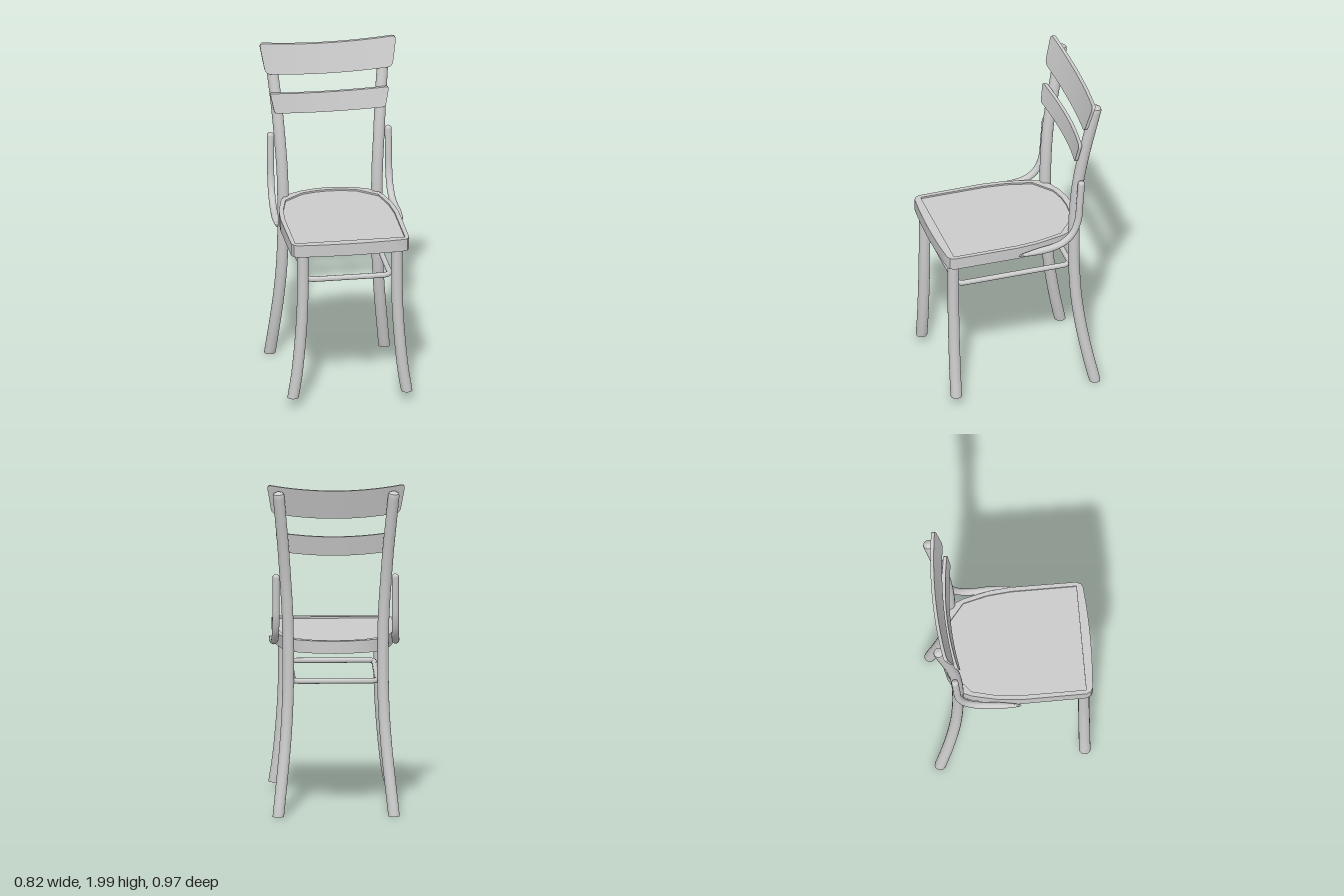
import * as THREE from 'three';
import { toCreasedNormals } from 'three/addons/utils/BufferGeometryUtils.js';

const { lerp } = THREE.MathUtils;

export function createModel() {
  const chair = new THREE.Group();
  chair.name = 'chair';
  const wood = new THREE.MeshStandardMaterial({ color: 0xcccccc });

  function add(name, geometry, crease = 0.7) {
    const mesh = new THREE.Mesh(toCreasedNormals(geometry, crease), wood);
    mesh.name = name;
    chair.add(mesh);
  }

  // Closed round rod along a path; radius(t) shapes it, flatStart levels the first end
  function rod(points, radius, flatStart = false, n = 48) {
    const path = new THREE.CatmullRomCurve3(points.map(p => new THREE.Vector3(...p)));
    const sides = 20;
    const geo = new THREE.TubeGeometry(path, n, 1, sides);
    const pos = geo.attributes.position;
    const v = new THREE.Vector3();
    for (let i = 0; i <= n; i++) {
      const own = path.getPointAt(i / n);
      const t = flatStart && i === 1 ? 0 : i / n;
      const centre = path.getPointAt(t);
      const r = flatStart && i === 0 ? 0 : radius(t);
      for (let j = 0; j <= sides; j++) {
        const k = i * (sides + 1) + j;
        v.fromBufferAttribute(pos, k).sub(own).multiplyScalar(r).add(centre);
        if (flatStart && i <= 1) v.y = centre.y;
        pos.setXYZ(k, v.x, v.y, v.z);
      }
    }
    return geo;
  }

  // Bent back slat with rounded corners, leaning back and wider at the top
  function slat({ yB, yT, zB, zT, wB, wT, rise, bend, depth, corner }) {
    const geo = new THREE.BoxGeometry(2, 2, 1, 28, 16, 1);
    const pos = geo.attributes.position;
    for (let i = 0; i < pos.count; i++) {
      const s = Math.sin(pos.getY(i) * Math.PI / 2);
      const v = (s + 1) / 2;
      const over = Math.max(0, corner - (1 - Math.abs(s)) / 2 * (yT - yB));
      const inset = corner - Math.sqrt(Math.max(0, corner * corner - over * over));
      const x = pos.getX(i) * (lerp(wB, wT, v) - inset);
      const q = (x / wT) ** 2;
      pos.setXYZ(i, x, lerp(yB, yT, v) + rise * q,
        lerp(zB, zT, v) + bend * q + (pos.getZ(i) - 0.5) * depth);
    }
    return geo;
  }

  // Mirrored outline on the floor plane from half of its [x, z] points
  function outline(half) {
    const other = half.filter(p => p[0] > 0).reverse().map(([x, z]) => [-x, z]);
    return [...half, ...other].map(([x, z]) => new THREE.Vector2(x, -z));
  }

  function slab(shape, bottom, height) {
    return new THREE.ExtrudeGeometry(shape, { depth: height, bevelEnabled: false })
      .rotateX(-Math.PI / 2).translate(0, bottom, 0);
  }

  // Seat: solid base with a raised rim around a shallow panel
  const outer = outline([[0, 0.485], [0.11, 0.483], [0.22, 0.478], [0.32, 0.47], [0.342, 0.458],
    [0.355, 0.43], [0.357, 0.04], [0.345, -0.09], [0.32, -0.2], [0.308, -0.25], [0.285, -0.3],
    [0.24, -0.345], [0.165, -0.382], [0.08, -0.403], [0, -0.41]]);
  const inner = outline([[0, 0.43], [0.33, 0.43], [0.33, 0.04], [0.317, -0.1], [0.28, -0.25],
    [0.165, -0.345], [0.08, -0.368], [0, -0.375]]);
  add('seatBase', slab(new THREE.Shape(outer), 0.975, 0.065), 0.5);
  const rim = new THREE.Shape(outer);
  rim.holes.push(new THREE.Path(inner));
  add('seatRim', slab(rim, 1.04, 0.01), 0.5);

  // Legs and side braces, mirrored left and right
  for (const [side, m] of [['left', 1], ['right', -1]]) {
    const mirror = list => list.map(([x, y, z]) => [x * m, y, z]);

    add(side + 'FrontLeg', rod(mirror([
      [0.342, 0.06, 0.42], [0.32, 0.2, 0.42], [0.3, 0.4, 0.42],
      [0.287, 0.6, 0.42], [0.283, 0.8, 0.42], [0.283, 0.99, 0.42],
    ]), () => 0.034, true));

    // Rear leg runs on upward as the back post, with a softly rounded top
    const postEnd = t => 0.034 * (t > 0.985 ? Math.sqrt(Math.max(0, 1 - ((t - 0.985) / 0.015) ** 2)) : 1);
    add(side + 'RearLegAndPost', rod(mirror([
      [0.344, 0, -0.442], [0.322, 0.2, -0.4], [0.302, 0.4, -0.366], [0.288, 0.6, -0.343],
      [0.282, 0.8, -0.333], [0.282, 1.0, -0.331], [0.286, 1.2, -0.336], [0.298, 1.4, -0.352],
      [0.312, 1.6, -0.383], [0.33, 1.8, -0.422], [0.345, 1.965, -0.455],
    ]), postEnd, true, 130));

    // Curved brace from the post down along the edge of the seat
    const braceRadius = t => 0.021 * Math.sqrt(Math.min(1, t / 0.02))
      * Math.sqrt(Math.min(1, Math.max(0, 1 - t) / 0.2 + (t < 1 ? 0.04 : 0)));
    add(side + 'Brace', rod(mirror([
      [0.354, 1.45, -0.357], [0.355, 1.3, -0.346], [0.355, 1.17, -0.334], [0.356, 1.085, -0.3],
      [0.358, 1.033, -0.24], [0.362, 1.013, -0.17], [0.368, 1.007, -0.08], [0.376, 1.003, 0.04],
    ]), braceRadius, false, 90));
  }

  // Back slats
  add('crestRail', slat({ yB: 1.79, yT: 1.965, zB: -0.39, zT: -0.44, wB: 0.382, wT: 0.412,
    rise: 0.034, bend: 0.032, depth: 0.02, corner: 0.025 }), 0.6);
  add('lowerBackSlat', slat({ yB: 1.56, yT: 1.677, zB: -0.35, zT: -0.374, wB: 0.333, wT: 0.358,
    rise: 0.024, bend: 0.035, depth: 0.02, corner: 0.014 }), 0.6);

  // Stretcher ring: rounded rectangle joining the four legs
  const r = 0.045, hx = 0.25, zf = 0.386, zb = -0.322;
  const ring = new THREE.CurvePath();
  const corners = [[hx, zf, 0], [-hx, zf, 1], [-hx, zb, 2], [hx, zb, 3]].map(([x, z, k]) => {
    const cx = x - Math.sign(x) * r, cz = z - Math.sign(z) * r;
    return [0, 1, 2, 3, 4, 5, 6].map(i => {
      const a = (k + i / 6) * Math.PI / 2;
      return new THREE.Vector3(cx + r * Math.cos(a), 0.795, cz + r * Math.sin(a));
    });
  });
  corners.forEach((arc, k) => {
    ring.add(new THREE.CatmullRomCurve3(arc));
    ring.add(new THREE.LineCurve3(arc[6], corners[(k + 1) % 4][0]));
  });
  add('stretcherRing', new THREE.TubeGeometry(ring, 160, 0.016, 14, true));

  return chair;
}
